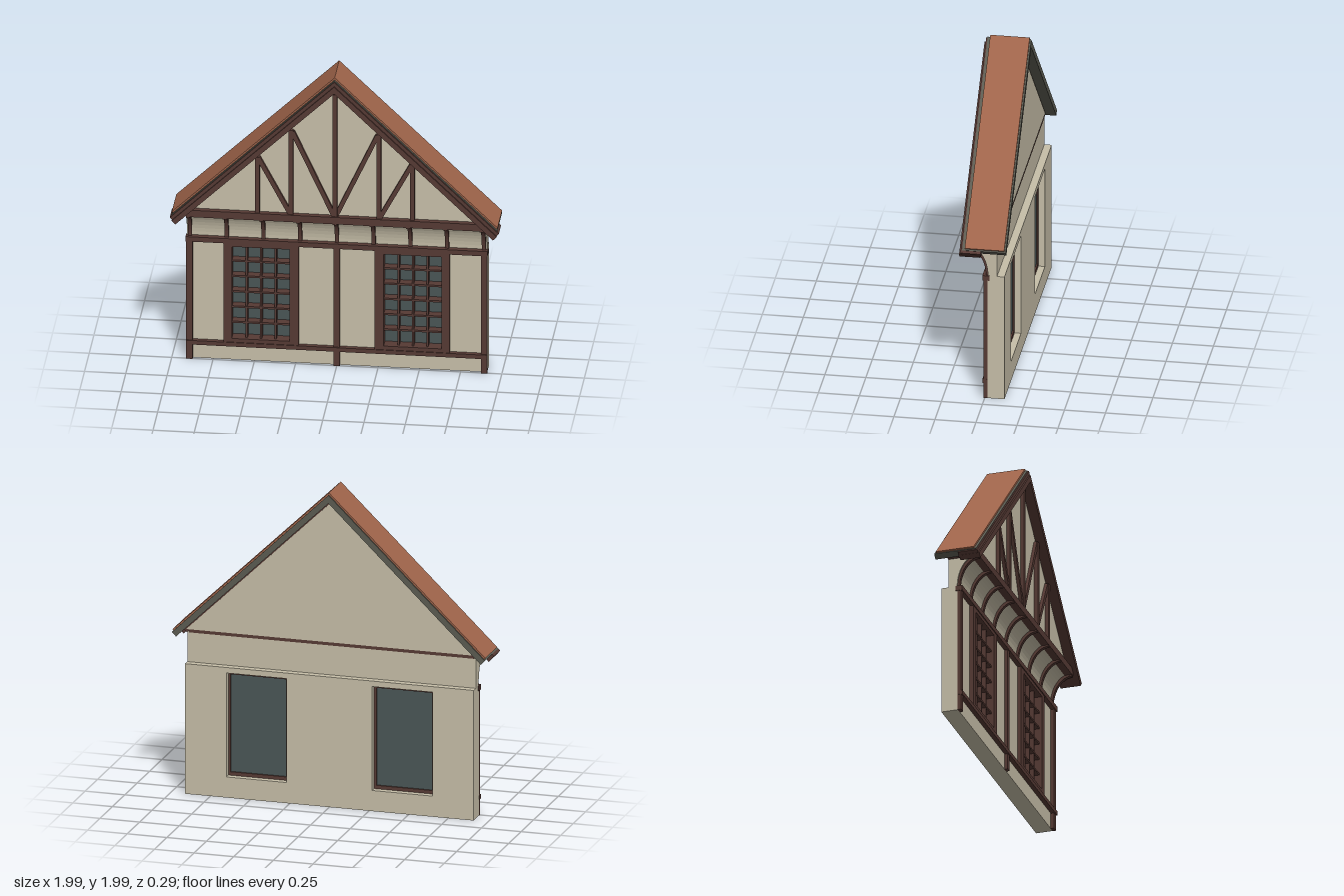
import * as THREE from 'three';

const mat = (name, color) => Object.assign(new THREE.MeshStandardMaterial({ color }), { name });

export function createModel() {
  const plaster = mat('plaster', 0xc6bea8);
  const timber = mat('dark timber', 0x563a34);
  const tile = mat('terracotta tile', 0xa0654b);
  const deck = mat('roof deck grey', 0x5c5c52);
  const glass = mat('window glass', 0x4a5656);
  const model = new THREE.Group();
  model.name = 'timberFramedGable';

  const add = (name, geometry, material) => {
    const mesh = new THREE.Mesh(geometry, material);
    mesh.name = name;
    model.add(mesh);
    return mesh;
  };
  // Box given by its limits on each axis
  const box = (name, m, x0, x1, y0, y1, z0, z1) => {
    const mesh = add(name, new THREE.BoxGeometry(x1 - x0, y1 - y0, z1 - z0), m);
    mesh.position.set((x0 + x1) / 2, (y0 + y1) / 2, (z0 + z1) / 2);
    return mesh;
  };
  const poly = (pts) => new THREE.Shape(pts.map(([x, y]) => new THREE.Vector2(x, y)));
  const rect = (x0, x1, y0, y1) => poly([[x0, y0], [x1, y0], [x1, y1], [x0, y1]]);
  const slab = (name, m, shape, z0, z1) => {
    const g = new THREE.ExtrudeGeometry(shape, { depth: z1 - z0, bevelEnabled: false });
    return add(name, g.translate(0, 0, z0), m);
  };
  const sides = [1, -1];
  const span = (s, a, b) => (s > 0 ? [a, b] : [-b, -a]);

  // Lower wall with two window holes
  const wall = rect(-0.91, 0.91, 0, 0.82);
  for (const s of sides) wall.holes.push(rect(...span(s, 0.27, 0.65), 0.13, 0.785));
  slab('lowerWall', plaster, wall, -0.12, -0.015);

  // Posts and rails of the lower wall
  for (const s of sides) box('cornerPost', timber, ...span(s, 0.873, 0.912), 0, 0.8, -0.016, 0.006);
  box('centrePost', timber, -0.018, 0.018, 0, 0.8, -0.016, 0.006);
  box('sillRail', timber, -0.913, 0.913, 0.1, 0.127, -0.014, 0.014);
  box('headRail', timber, -0.915, 0.915, 0.79, 0.822, -0.03, 0.014);

  // Windows: casing, lining, glass and glazing bars
  for (const s of sides) {
    const opening = rect(...span(s, 0.285, 0.635), 0.152, 0.767);
    const casing = rect(...span(s, 0.23, 0.685), 0.125, 0.792);
    casing.holes.push(opening);
    slab('windowCasing', timber, casing, -0.016, 0.009);
    const lining = rect(...span(s, 0.27, 0.65), 0.13, 0.785);
    lining.holes.push(opening);
    slab('windowLining', timber, lining, -0.08, -0.016);
    box('windowGlass', glass, ...span(s, 0.28, 0.64), 0.147, 0.772, -0.07, -0.062);
    for (let i = 1; i < 4; i++) {
      const x = s * (0.285 + (0.35 * i) / 4);
      box('verticalGlazingBar', timber, x - 0.006, x + 0.006, 0.152, 0.767, -0.062, -0.012);
    }
    for (let i = 1; i < 6; i++) {
      const y = 0.152 + (0.615 * i) / 6;
      box('horizontalGlazingBar', timber, ...span(s, 0.285, 0.635), y - 0.006, y + 0.006, -0.062, -0.009);
    }
  }

  // Curved jetty section, drawn in (z, y) and extruded along x
  const coveSection = (out) => {
    const pts = [[-0.075 + out * 0.1, 1.012], [-0.075 + out * 0.1, 0.818]];
    for (let i = 0; i <= 12; i++) {
      const a = (i / 12) * Math.PI / 2;
      pts.push([-0.02 + out + 0.12 * (1 - Math.cos(a)), 0.82 + (0.192 - out) * Math.sin(a)]);
    }
    pts.push([-0.02 + out + 0.12, 1.012]);
    return poly(pts);
  };
  const cove = (name, m, out, x, width) => {
    const g = new THREE.ExtrudeGeometry(coveSection(out), { depth: width, bevelEnabled: false });
    g.translate(0, 0, -width / 2).rotateY(-Math.PI / 2);
    // swap axes so the section faces the front
    g.scale(1, 1, 1).translate(x, 0, 0);
    return add(name, g, m);
  };
  cove('jettyCove', plaster, 0, 0, 1.82);
  for (let i = -4; i <= 4; i++) cove('jettyBracket', timber, 0.014, i * 0.2225, 0.024);

  // Gable wall and its bottom beam
  const slope = 0.965;
  const halfBase = (1.91 - 1.026) / slope;
  slab('gableWall', plaster, poly([[-halfBase, 1.026], [halfBase, 1.026], [0, 1.91]]), -0.08, 0.085);
  box('gableBeam', timber, -0.9, 0.9, 1.006, 1.052, -0.078, 0.118);

  // Gable studs and braces
  box('kingPost', timber, -0.015, 0.015, 1.05, 1.868, 0.08, 0.108);
  const brace = (x0, y0, x1, y1) => {
    const mesh = add('gableBrace', new THREE.BoxGeometry(0.027, Math.hypot(x1 - x0, y1 - y0), 0.024), timber);
    mesh.position.set((x0 + x1) / 2, (y0 + y1) / 2, 0.092);
    mesh.rotation.z = -Math.atan2(x1 - x0, y1 - y0);
  };
  for (const s of sides) {
    box('innerStud', timber, ...span(s, 0.252, 0.28), 1.05, 1.615, 0.08, 0.108);
    box('outerStud', timber, ...span(s, 0.456, 0.483), 1.05, 1.425, 0.08, 0.108);
    brace(s * 0.005, 1.05, s * 0.258, 1.605);
    brace(s * 0.27, 1.05, s * 0.465, 1.42);
  }

  // Roof layers: chevrons with ends cut square to the slope
  const chevron = (name, m, top, bottom, xEnd, z0, z1) => {
    const drop = (top - bottom) / (1 + slope * slope);
    const yEnd = top - slope * xEnd;
    const right = [[xEnd, yEnd], [xEnd - drop * slope, yEnd - drop]];
    const left = right.map(([x, y]) => [-x, y]).reverse();
    slab(name, m, poly([[0, top], ...right, [0, bottom], ...left]), z0, z1);
  };
  chevron('roofTiles', tile, 1.985, 1.97, 0.987, -0.13, 0.11);
  chevron('roofDeck', deck, 1.971, 1.92, 0.987, -0.14, 0.126);
  chevron('innerRakeBacking', timber, 1.921, 1.885, 0.93, -0.077, 0.02);
  chevron('upperBargeboard', timber, 1.966, 1.915, 0.997, 0.012, 0.135);
  chevron('lowerBargeboard', timber, 1.938, 1.893, 0.985, 0.018, 0.145);

  return model;
}
